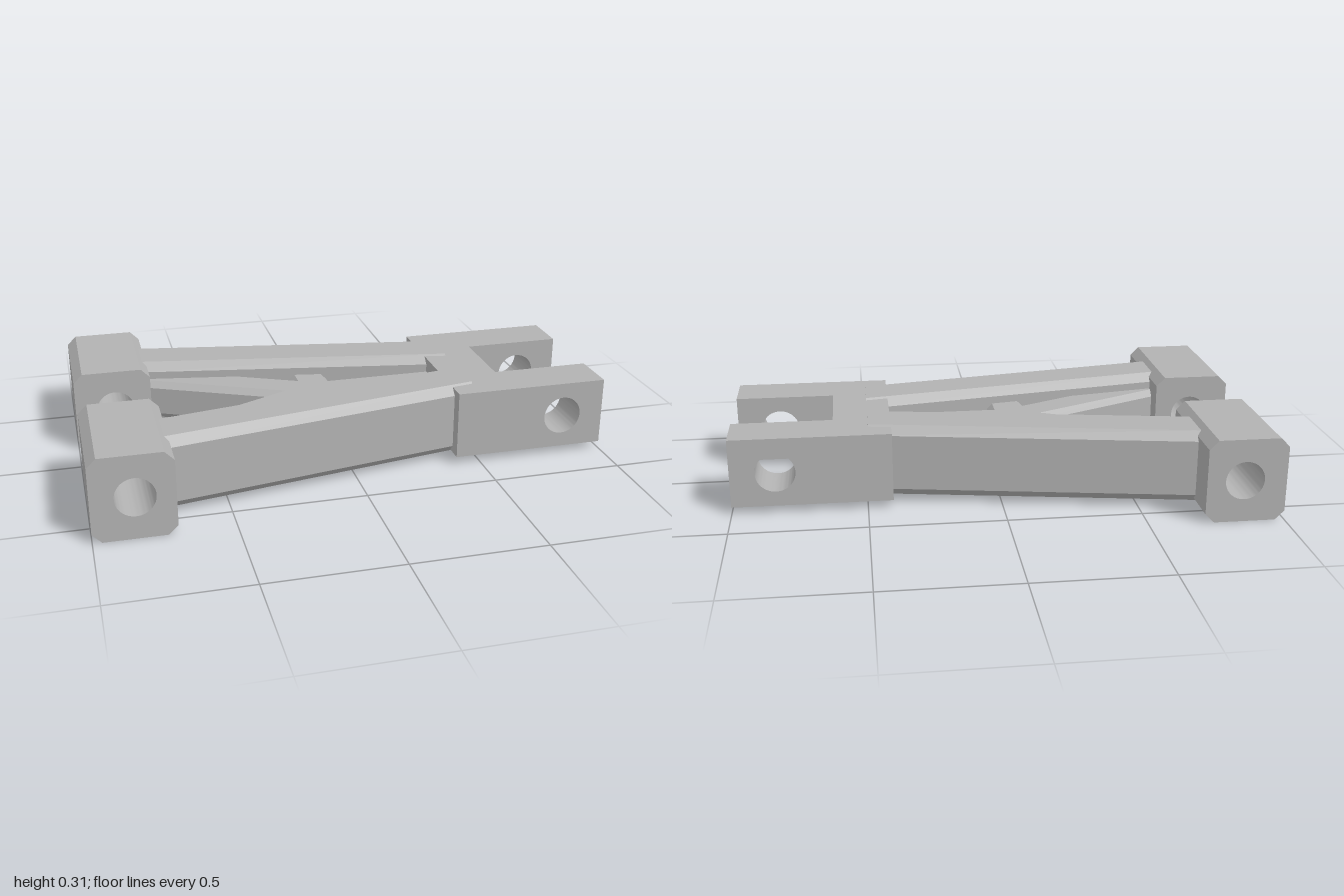
import * as THREE from 'three';
import { toCreasedNormals } from 'three/addons/utils/BufferGeometryUtils.js';

const steel = new THREE.MeshStandardMaterial({ color: 0xb2b2b2 });
steel.name = 'grey metal';

// Rectangle outline with 45 degree cut corners
function chamferedRect(x0, x1, y0, y1, c) {
  const pts = [
    [x0 + c, y0], [x1 - c, y0], [x1, y0 + c], [x1, y1 - c],
    [x1 - c, y1], [x0 + c, y1], [x0, y1 - c], [x0, y0 + c],
  ];
  return new THREE.Shape(pts.map(([x, y]) => new THREE.Vector2(x, y)));
}

function addHole(shape, x, y, r) {
  const hole = new THREE.Path();
  hole.absarc(x, y, r, 0, Math.PI * 2, true);
  shape.holes.push(hole);
  return shape;
}

// Extrude an x-y outline between two z planes
function slab(shape, z0, z1) {
  const geo = new THREE.ExtrudeGeometry(shape, { depth: z1 - z0, bevelEnabled: false, curveSegments: 32 });
  geo.translate(0, 0, z0);
  return toCreasedNormals(geo, 0.6);
}

// Octagonal beam running along x, its ends cut square to x
function beam([x0, z0], [x1, z1], half, y0, y1, c) {
  const geo = new THREE.ExtrudeGeometry(chamferedRect(-half, half, y0, y1, c), { depth: 1, bevelEnabled: false });
  const p = geo.attributes.position;
  for (let i = 0; i < p.count; i++) {
    const u = p.getX(i), t = p.getZ(i);
    p.setXYZ(i, x0 + t * (x1 - x0), p.getY(i), z0 + t * (z1 - z0) - u);
  }
  geo.computeVertexNormals();
  return geo;
}

export function createModel() {
  const group = new THREE.Group();
  const add = (name, geo) => {
    const mesh = new THREE.Mesh(geo, steel);
    mesh.name = name;
    group.add(mesh);
  };

  // Pivot bosses with bored holes
  const boss = addHole(chamferedRect(-1, -0.705, 0, 0.315, 0.034), -0.845, 0.158, 0.072);
  add('frontPivotBoss', slab(boss, 0.14, 0.609));
  add('backPivotBoss', slab(boss, -0.609, -0.16));

  // Fork: two drilled tines joined by a bridge
  const tine = () => addHole(new THREE.Shape([
    new THREE.Vector2(0.405, 0.028), new THREE.Vector2(1, 0.028),
    new THREE.Vector2(1, 0.29), new THREE.Vector2(0.405, 0.29),
  ]), 0.834, 0.158, 0.074);
  add('frontForkTine', slab(tine(), 0.148, 0.33));
  add('backForkTine', slab(tine(), -0.33, -0.148));
  const bridge = new THREE.BoxGeometry(0.215, 0.262, 0.296);
  bridge.translate(0.5125, 0.159, 0);
  add('forkBridge', bridge);

  // Side arms and diagonal braces, mirrored front to back
  for (const [side, s] of [['front', 1], ['back', -1]]) {
    add(side + 'Arm', beam([-0.75, s * 0.374], [0.49, s * 0.156], 0.11, 0.02, 0.297, 0.033));
    add(side + 'DiagonalBrace', beam([-0.74, s * 0.318], [-0.07, 0], 0.083, 0.08, 0.235, 0.024));
  }

  // Centre spine and cross brace
  add('centreSpine', beam([-0.07, 0], [0.45, 0], 0.079, 0.08, 0.235, 0.023));
  add('crossBrace', new THREE.ExtrudeGeometry(
    chamferedRect(-0.147, 0.002, 0.08, 0.235, 0.022), { depth: 0.44, bevelEnabled: false }).translate(0, 0, -0.22));

  return group;
}
